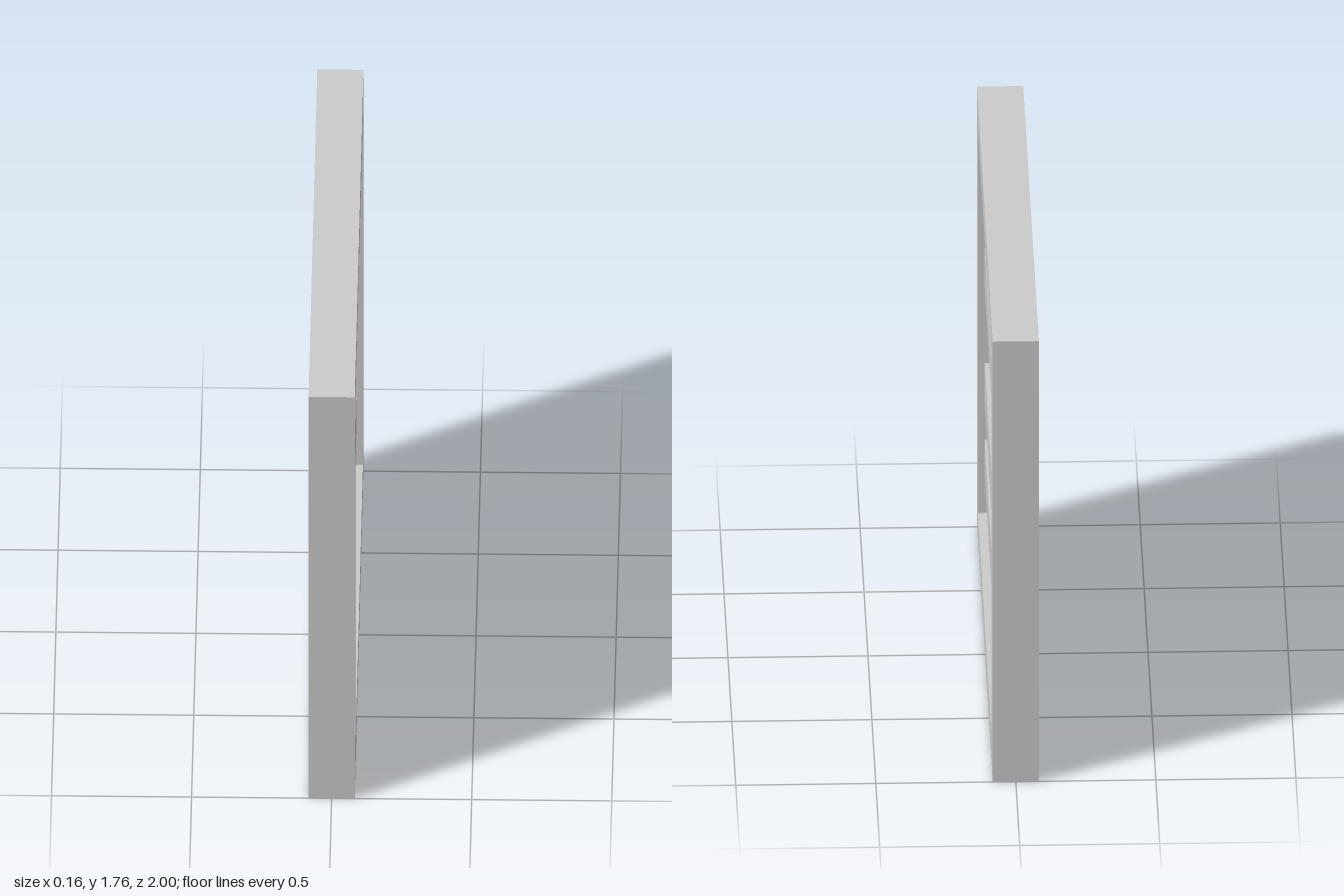
import * as THREE from 'three';

const HEIGHT = 1.765, LENGTH = 2, HALF = 0.0825;   // outer size, half thickness
const PANEL_X = 0.035, SLAT_X = 0.059;             // recessed panel and slat faces
const OPEN_BOTTOM = 0.115, OPEN_TOP = 1.65, OPEN_HALF = 0.87;

// Rectangle with rounded corners, traced clockwise so it can serve as a hole
function roundedHole(x, y0, y1, r) {
  const p = new THREE.Path();
  p.moveTo(-x, y0 + r);
  p.lineTo(-x, y1 - r);
  p.absarc(-x + r, y1 - r, r, Math.PI, Math.PI / 2, true);
  p.lineTo(x - r, y1);
  p.absarc(x - r, y1 - r, r, Math.PI / 2, 0, true);
  p.lineTo(x, y0 + r);
  p.absarc(x - r, y0 + r, r, 0, -Math.PI / 2, true);
  p.lineTo(-x + r, y0);
  p.absarc(-x + r, y0 + r, r, -Math.PI / 2, -Math.PI, true);
  return p;
}

export function createModel() {
  const group = new THREE.Group();
  group.name = 'louveredPanel';
  const material = new THREE.MeshStandardMaterial({ color: 0xcccccc });

  const add = (name, geometry) => {
    const mesh = new THREE.Mesh(geometry, material);
    mesh.name = name;
    group.add(mesh);
    return mesh;
  };

  // Box spanning x0..x1 and y0..y1, centred on z
  const slab = (name, x0, x1, y0, y1, length) =>
    add(name, new THREE.BoxGeometry(x1 - x0, y1 - y0, length))
      .position.set((x0 + x1) / 2, (y0 + y1) / 2, 0);

  // Solid backing board
  slab('backPanel', -HALF, PANEL_X, 0, HEIGHT, LENGTH);

  // Raised border around the recess, facing +x
  const outline = new THREE.Shape([
    new THREE.Vector2(-LENGTH / 2, 0), new THREE.Vector2(LENGTH / 2, 0),
    new THREE.Vector2(LENGTH / 2, HEIGHT), new THREE.Vector2(-LENGTH / 2, HEIGHT),
  ]);
  outline.holes.push(roundedHole(OPEN_HALF, OPEN_BOTTOM, OPEN_TOP, 0.01));
  const border = new THREE.ExtrudeGeometry(outline, {
    depth: HALF - PANEL_X, bevelEnabled: false, curveSegments: 4,
  });
  border.rotateY(Math.PI / 2).translate(PANEL_X, 0, 0);
  add('frame', border);

  // Horizontal slats running the full width of the recess
  [[0.265, 0.417], [0.57, 0.722], [1.03, 1.182], [1.335, 1.487]].forEach(([y0, y1], i) =>
    slab(`slat${i + 1}`, PANEL_X, SLAT_X, y0, y1, OPEN_HALF * 2));

  return group;
}
